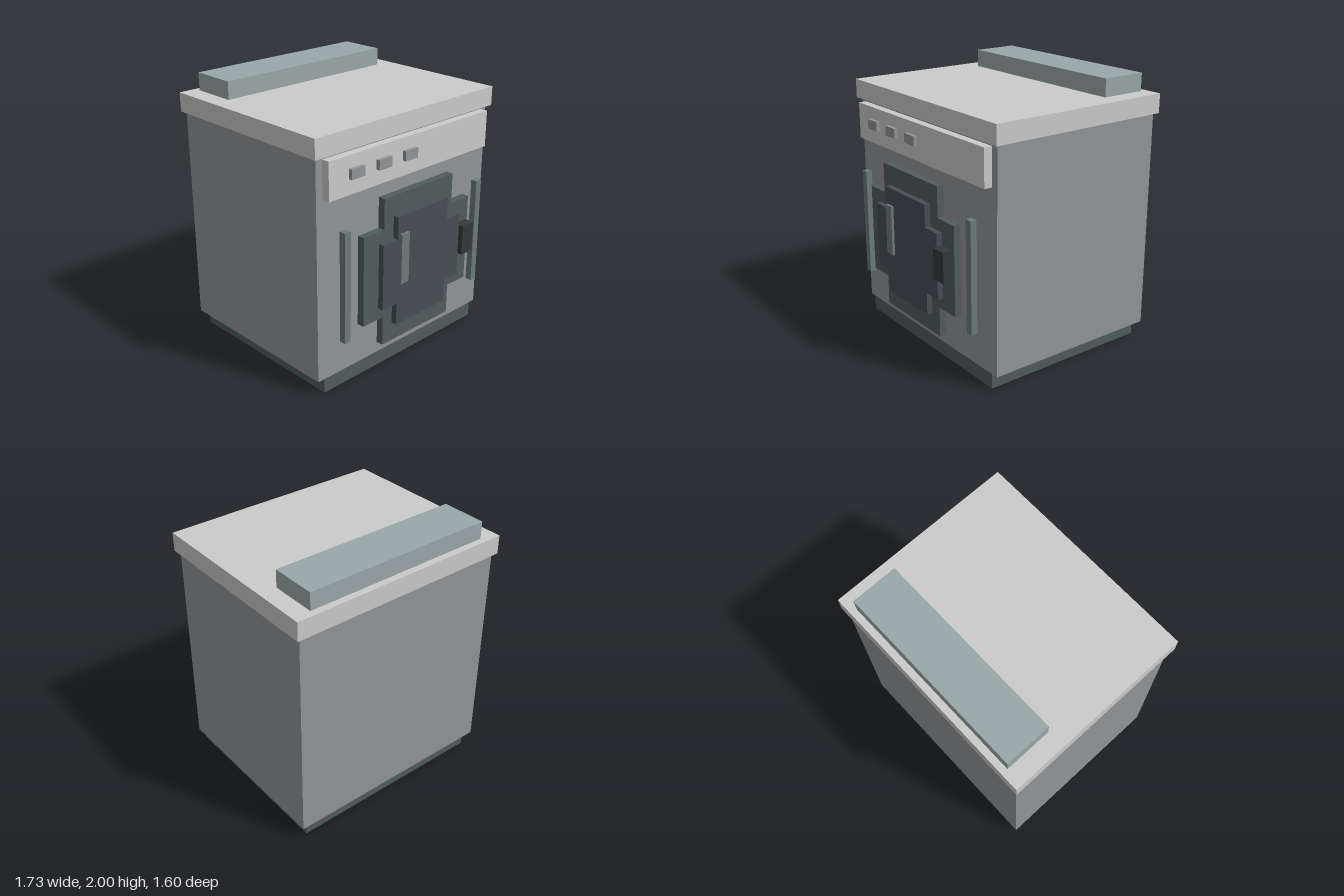
import * as THREE from 'three';

const mat = (color) => new THREE.MeshStandardMaterial({ color });

export function createModel() {
  const model = new THREE.Group();
  model.name = 'washingMachine';

  const pale = mat(0xcccccc);
  const casing = mat(0x929699);
  const shelf = mat(0x9aa8a9);
  const trim = mat(0x6d7b7b);
  const dark = mat(0x505c5e);
  const glass = mat(0x454f56);
  const black = mat(0x343939);

  const add = (name, geometry, material) => {
    const mesh = new THREE.Mesh(geometry, material);
    mesh.name = name;
    model.add(mesh);
    return mesh;
  };

  // Box given by its extents along each axis
  const block = (name, [x0, x1], [y0, y1], [z0, z1], material) =>
    add(name, new THREE.BoxGeometry(x1 - x0, y1 - y0, z1 - z0), material)
      .position.set((x0 + x1) / 2, (y0 + y1) / 2, (z0 + z1) / 2);

  // Stepped, cross-shaped plate: a tall narrow bar merged with a short wide one
  const steppedPlate = (name, cy, [nx, wx], [ny, ty], [z0, z1], material) => {
    const corner = [[wx, ny], [nx, ny], [nx, ty]];
    const flipped = [...corner].reverse();
    const points = [
      ...corner,
      ...flipped.map(([x, y]) => [-x, y]),
      ...corner.map(([x, y]) => [-x, -y]),
      ...flipped.map(([x, y]) => [x, -y]),
    ].map(([x, y]) => new THREE.Vector2(x, y));
    const geometry = new THREE.ExtrudeGeometry(new THREE.Shape(points), {
      depth: z1 - z0,
      bevelEnabled: false,
    });
    add(name, geometry, material).position.set(0, cy, z0);
  };

  // Cabinet
  block('plinth', [-0.78, 0.78], [0, 0.11], [-0.735, 0.6], dark);
  block('body', [-0.835, 0.835], [0.11, 1.73], [-0.775, 0.6], casing);
  block('worktop', [-0.865, 0.865], [1.73, 1.87], [-0.8, 0.63], pale);
  block('rearShelf', [-0.73, 0.73], [1.87, 2], [-0.75, -0.405], shelf);

  // Control panel with three buttons
  block('controlPanel', [-0.78, 0.78], [1.44, 1.71], [0.6, 0.66], pale);
  for (const x of [-0.547, -0.298, -0.048])
    block('button', [x - 0.06, x + 0.06], [1.55, 1.62], [0.66, 0.688], casing);

  // Vertical trim strips beside the door
  for (const x of [-0.662, 0.67])
    block('trimStrip', [x - 0.027, x + 0.027], [0.4, 1.212], [0.66, 0.708], trim);

  // Door: frame, window, reflection and handle
  steppedPlate('doorFrame', 0.805, [0.343, 0.532], [0.33, 0.552], [0.67, 0.724], dark);
  steppedPlate('doorWindow', 0.805, [0.252, 0.39], [0.243, 0.407], [0.724, 0.767], glass);
  block('windowReflection', [-0.232, -0.157], [0.714, 1.085], [0.767, 0.787], trim);
  block('doorHandle', [0.396, 0.512], [0.732, 0.957], [0.724, 0.8], black);

  return model;
}
